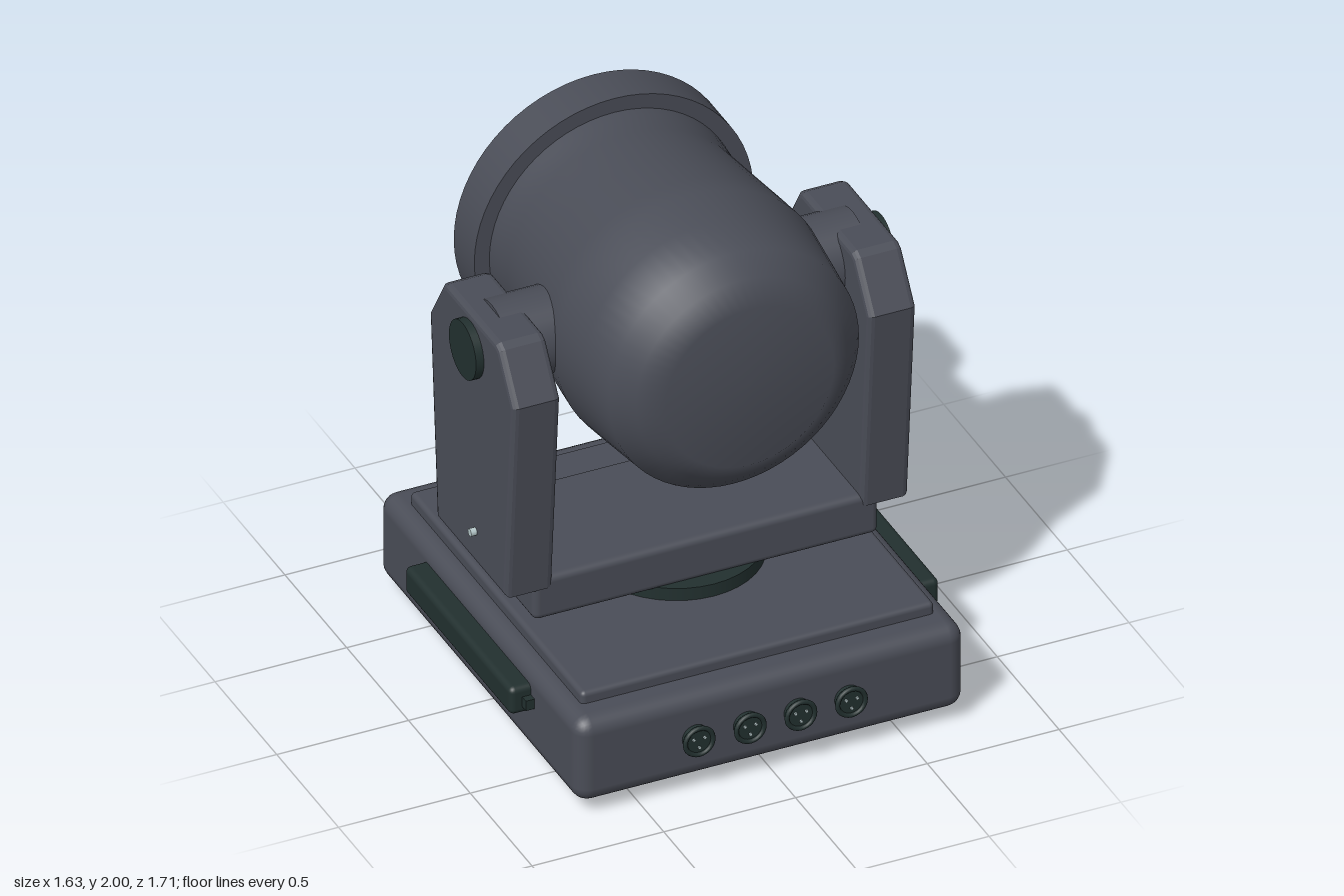
import * as THREE from 'three';
import { mergeGeometries } from 'three/addons/utils/BufferGeometryUtils.js';
import { RoundedBoxGeometry } from 'three/addons/geometries/RoundedBoxGeometry.js';

const material = (name, color) => {
  const m = new THREE.MeshStandardMaterial({ color });
  m.name = name;
  return m;
};

export function createModel() {
  const body = material('slate grey housing', 0x4a4d57);
  const dark = material('dark green rubber', 0x22302f);
  const teal = material('teal glass', 0x348091);
  const metal = material('pale metal', 0xb4c6c8);

  const model = new THREE.Group();
  model.name = 'movingHeadLight';

  const add = (name, geometry, mat, x = 0, y = 0, z = 0, parent = model) => {
    const mesh = new THREE.Mesh(geometry, mat);
    mesh.name = name;
    mesh.position.set(x, y, z);
    parent.add(mesh);
    return mesh;
  };
  // Rounded box given by its extents
  const block = (name, mat, [x0, x1], [y0, y1], [z0, z1], radius) =>
    add(name, new RoundedBoxGeometry(x1 - x0, y1 - y0, z1 - z0, 3, radius), mat,
      (x0 + x1) / 2, (y0 + y1) / 2, (z0 + z1) / 2);
  // Cylinders along each axis
  const cylY = (r, h, n = 32) => new THREE.CylinderGeometry(r, r, h, n);
  const cylZ = (r, h, n = 32) => cylY(r, h, n).rotateX(Math.PI / 2);
  const cylX = (r, h, n = 32) => cylY(r, h, n).rotateZ(Math.PI / 2);

  // Base
  block('base', body, [-0.737, 0.737], [0.05, 0.39], [-0.812, 0.812], 0.06);
  block('baseTopPlate', body, [-0.67, 0.67], [0.34, 0.435], [-0.695, 0.697], 0.018);
  for (const x of [-0.565, 0.565])
    for (const z of [-0.555, 0.557])
      add('foot', cylY(0.068, 0.06), dark, x, 0.03, z);

  // Turntable and yoke bar
  add('turntable', cylY(0.34, 0.07, 40).scale(0.945, 1, 1), dark, 0, 0.45, 0);
  block('yokeBar', body, [-0.655, 0.655], [0.475, 0.645], [-0.277, 0.28], 0.025);

  // Yoke arm outline in depth and height
  const outline = new THREE.Shape([
    [-0.28, 0.605], [0.285, 0.605], [0.35, 1.42], [0.235, 1.595], [0.205, 1.61],
    [-0.2, 1.61], [-0.23, 1.595], [-0.338, 1.42],
  ].map(([z, y]) => new THREE.Vector2(z, y)));
  const armGeometry = new THREE.ExtrudeGeometry(outline, {
    depth: 0.136, bevelThickness: 0.022, bevelSize: 0.022, bevelOffset: -0.022, bevelSegments: 3,
  }).rotateY(-Math.PI / 2).translate(0.068, 0, 0);

  for (const side of [1, -1]) {
    const label = side > 0 ? 'left' : 'right';
    add(label + 'YokeArm', armGeometry, body, side * 0.675);
    add(label + 'Trunnion', cylX(0.155, 0.285), body, side * 0.5425, 1.47, 0);
    add(label + 'PivotCap', cylX(0.11, 0.06), dark, side * 0.765, 1.47, 0);
    add(label + 'Screw', cylX(0.015, 0.03, 10), metal, side * 0.772, 0.738, 0.04);
    const handleX = [side * 0.70, side * 0.815].sort((a, b) => a - b);
    block(label + 'Handle', dark, handleX, [0.22, 0.33], [-0.43, 0.43], 0.022);
    add(label + 'HandleStub', new THREE.BoxGeometry(0.06, 0.04, 0.06), dark, side * 0.74, 0.27, 0.43);
  }

  // Head shell, turned about the front-to-back axis
  const head = new THREE.Group();
  head.name = 'head';
  head.position.y = 1.47;
  model.add(head);
  const shell = [
    [0.475, -0.5], [0.47, -0.43], [0.465, -0.34], [0.486, -0.13], [0.506, 0.06], [0.515, 0.16],
    [0.497, 0.32], [0.475, 0.5], [0.4, 0.563], [0.32, 0.63], [0, 0.632],
  ].map(([r, z]) => new THREE.Vector2(r, z));
  add('headShell', new THREE.LatheGeometry(shell, 64).rotateX(Math.PI / 2), body, 0, 0, 0, head);

  // Lens end
  add('headCollar', cylZ(0.53, 0.166, 64), body, 0, 0, -0.553, head);
  add('collarStep', cylZ(0.475, 0.03, 64), body, 0, 0, -0.64, head);
  add('lensMount', cylZ(0.3, 0.06), body, 0, 0, -0.67, head);
  add('lensRim', new THREE.TorusGeometry(0.393, 0.023, 12, 64), body, 0, 0, -0.694, head);
  add('lensGlass', cylZ(0.372, 0.03, 64), teal, 0, 0, -0.709, head);

  // Rings of small lens beads
  const beads = [];
  for (let ring = 0; ring < 10; ring++) {
    const count = ring ? ring * 6 : 1;
    for (let i = 0; i < count; i++) {
      const a = (i / count) * Math.PI * 2;
      const r = ring * 0.038;
      beads.push(cylZ(0.013, 0.008, 8).translate(r * Math.cos(a), r * Math.sin(a), -0.726));
    }
  }
  add('lensBeads', mergeGeometries(beads), teal, 0, 0, 0, head);

  // Front connectors with three pins each
  for (const x of [-0.292, -0.098, 0.094, 0.286]) {
    const plug = new THREE.Group();
    plug.name = 'connector';
    plug.position.set(x, 0.22, 0.81);
    model.add(plug);
    add('connectorBody', cylZ(0.05, 0.05, 24), dark, 0, 0, 0.008, plug);
    add('connectorRim', new THREE.TorusGeometry(0.053, 0.009, 8, 24), dark, 0, 0, 0.033, plug);
    for (let i = 0; i < 3; i++) {
      const a = Math.PI / 6 + (i * Math.PI * 2) / 3;
      add('connectorPin', cylZ(0.006, 0.01, 8), metal, 0.024 * Math.cos(a), 0.024 * Math.sin(a), 0.034, plug);
    }
  }

  // Rear control panel
  add('controlPanel', new THREE.BoxGeometry(0.686, 0.225, 0.04), dark, -0.002, 0.232, -0.815);
  add('display', new THREE.BoxGeometry(0.288, 0.13, 0.03), teal, -0.115, 0.23, -0.838);
  for (const x of [0.095, 0.15, 0.205, 0.26])
    add('panelButton', cylZ(0.018, 0.03, 16), body, x, 0.232, -0.84);

  return model;
}
